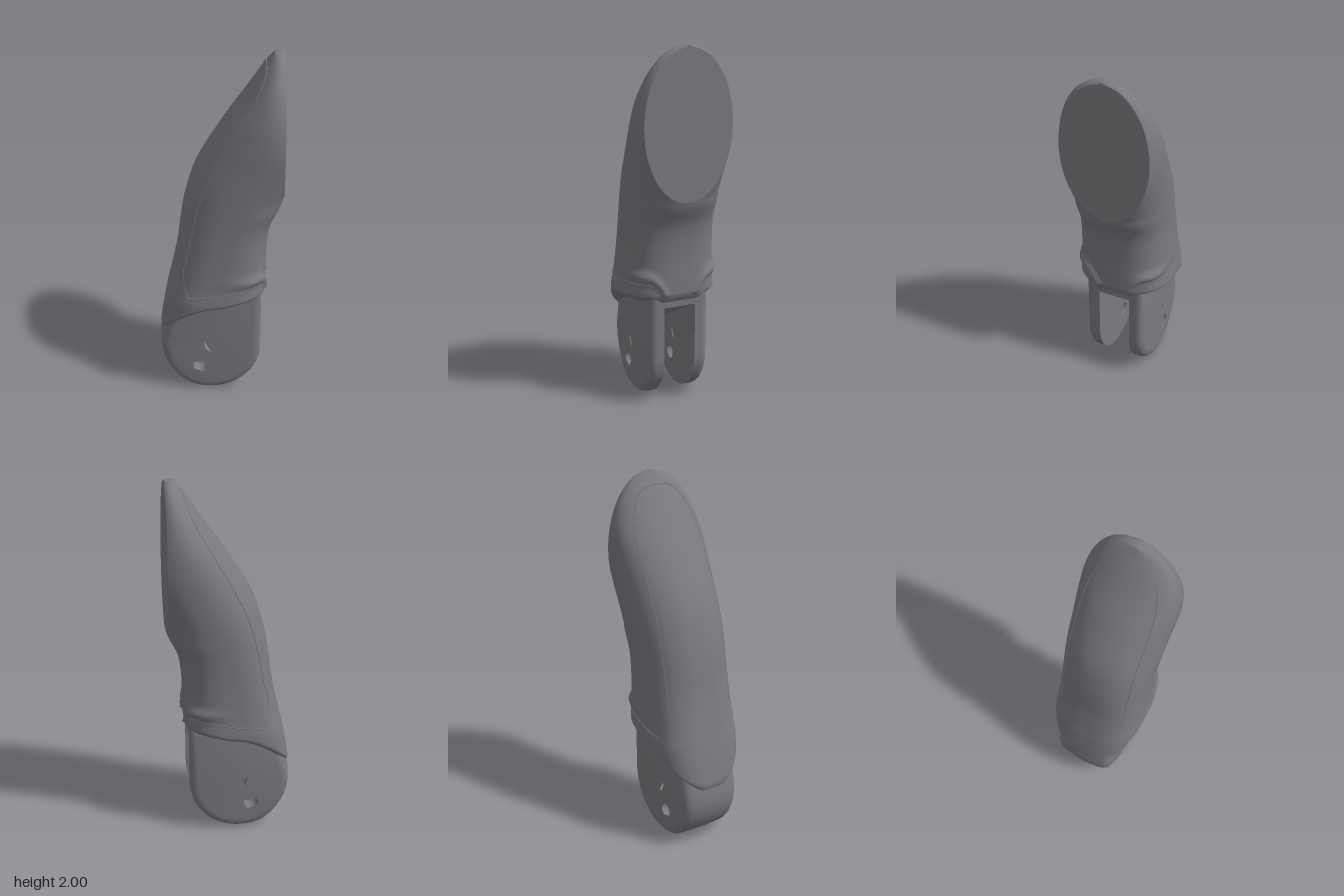
import * as THREE from 'three';
import { mergeVertices, toCreasedNormals } from 'three/addons/utils/BufferGeometryUtils.js';

const material = new THREE.MeshStandardMaterial({ color: 0x7a797f, side: THREE.DoubleSide });
const { smoothstep, lerp, clamp } = THREE.MathUtils;

// Body profile: y, back x, front x, half width, roundness exponent
const PROFILE = [
  [0.3, -0.342, 0.23, 0.21, 3], [0.4, -0.335, 0.235, 0.235, 3], [0.6, -0.3, 0.25, 0.258, 3],
  [0.72, -0.272, 0.252, 0.25, 2.9], [0.9, -0.235, 0.256, 0.245, 2.7], [1.05, -0.215, 0.28, 0.245, 2.5],
  [1.19, -0.19, 0.34, 0.25, 2.4], [1.38, -0.13, 0.34, 0.258, 2.2], [1.6, 0, 0.34, 0.265, 2.1],
  [1.78, 0.125, 0.34, 0.237, 2], [1.9, 0.205, 0.34, 0.175, 2], [2, 0.275, 0.34, 0, 2],
];

// Smooth interpolation of one profile column
function sample(y, col) {
  const P = PROFILE, last = P.length - 1;
  let i = 0;
  while (i < last - 1 && y > P[i + 1][0]) i++;
  const slope = (k) => {
    const a = P[Math.max(k - 1, 0)], b = P[Math.min(k + 1, last)];
    return (b[col] - a[col]) / (b[0] - a[0]);
  };
  const h = P[i + 1][0] - P[i][0];
  const t = clamp((y - P[i][0]) / h, 0, 1), s = t * t * (3 - 2 * t);
  return P[i][col] * (1 - s) + P[i + 1][col] * s
    + h * t * (1 - t) * ((1 - t) * slope(i) - t * slope(i + 1));
}

// Slightly leaning oval face: its x and half width at height y
const faceX = (y) => 0.34 - 0.014 * (y - 1.19);
const faceHalf = (y) => 0.245 * Math.sqrt(Math.max(0, 1 - ((y - 1.59) / 0.4) ** 2));

// Horizontal section: superellipse, cut off at the oval face
function section(y) {
  const n = sample(y, 4), back = sample(y, 1);
  const w = y > 1.6 ? 0.265 * Math.sqrt(Math.max(0, 1 - ((y - 1.6) / 0.4) ** 2)) : sample(y, 3);
  const d = faceHalf(y);
  const A = d > 0 ? Math.asin(Math.min(1, (d / w) ** (n / 2))) : 0;
  const rx = (Math.min(faceX(y), sample(y, 2) + (A > 0 ? 1 : 0)) - back) / (1 + Math.cos(A) ** (2 / n));
  return { n, w, A, rx, cx: back + rx };
}

const pow = (v, e) => Math.sign(v) * Math.abs(v) ** e;

// Height of the soft ridge arching over each cheek
const ridgeY = (z) => 0.76 - 12 * Math.max(0, 0.18 - Math.abs(z)) ** 2;

function bodyPoint(y, f) {
  const { n, w, A, rx, cx } = section(y);
  const a = A + (2 * Math.PI - 2 * A) * f;
  const x = cx + rx * pow(Math.cos(a), 2 / n), z = w * pow(Math.sin(a), 2 / n);
  const swell = 0.02 * Math.exp(-(((y - ridgeY(z)) / 0.03) ** 2)) * smoothstep(x, -0.05, 0.2);
  return [x + swell * 0.8, y, z + Math.sign(z) * swell * 0.5 * smoothstep(Math.abs(z), 0.1, 0.2)];
}

// Skin over rows of points, listed from bottom to top
function loft(rows) {
  const m = rows[0].length, index = [];
  for (let i = 0; i < rows.length - 1; i++) {
    for (let j = 0; j < m - 1; j++) {
      const a = i * m + j, b = a + m;
      index.push(a, b, a + 1, a + 1, b, b + 1);
    }
  }
  let g = new THREE.BufferGeometry();
  g.setAttribute('position', new THREE.Float32BufferAttribute(rows.flat(2), 3));
  g.setIndex(index);
  g = mergeVertices(g, 1e-5);
  g.computeVertexNormals();
  return g;
}

function bodyGeometry() {
  const N = 120, rows = [];
  const fractions = Array.from({ length: N + 1 }, (_, j) => j / N);
  const lip = (f) => 0.66 - 0.26 * ((1 - Math.cos(2 * Math.PI * f)) / 2) ** 2.6;
  // Lip tucked in over the fork
  for (let k = 8; k >= 1; k--) {
    const t = k / 8, s = t * t * (3 - 2 * t);
    rows.push(fractions.map((f) => {
      const [x, y, z] = bodyPoint(lip(f), f);
      return [Math.min(x * (1 - 0.03 * s), 0.25 - 0.03 * s), y - 0.075 * t, z * (1 - 0.4 * s)];
    }));
  }
  // Slanted shoulder with the ridges
  for (let k = 0; k < 30; k++) {
    rows.push(fractions.map((f) => bodyPoint(lerp(lip(f), 0.85, k / 30), f)));
  }
  // Shaft up to the tip
  for (let k = 0; k <= 64; k++) {
    const y = 0.85 + 1.15 * Math.sin((k / 64) * Math.PI / 2);
    rows.push(fractions.map((f) => bodyPoint(y, f)));
  }
  return loft(rows);
}

function ovalGeometry() {
  const rows = [];
  for (let k = 0; k <= 64; k++) {
    const y = 1.59 - 0.4 * Math.cos((k / 64) * Math.PI), d = faceHalf(y);
    rows.push([[faceX(y), y, -d], [faceX(y), y, d]]);
  }
  return loft(rows);
}

const HOLES = [[-0.035, 0.31, 0.052], [-0.11, 0.16, 0.04]];

// Upper back edge shared by cheeks and web, kept inside the body
const BACK_EDGE = [[-0.338, 0.33], [-0.322, 0.4], [-0.295, 0.5], [-0.25, 0.6]];

// Bows the back of the fork so that it rounds off towards the sides
const bowed = (x, z) => x + 0.9 * z * z * smoothstep(-x, 0.15, 0.3);

// Fork cheek: drilled plate with its outer rim rounded over
function cheekGeometry(side) {
  const shape = new THREE.Shape();
  shape.moveTo(0.23, 0.65);
  shape.lineTo(0.23, 0.285);
  shape.absarc(-0.055, 0.285, 0.285, 0, -Math.PI, true);
  for (const [x, y] of BACK_EDGE) shape.lineTo(x, y);
  for (const [x, y, r] of HOLES) {
    const ring = Array.from({ length: 32 }, (_, i) => {
      const a = (i / 32) * Math.PI * 2;
      return new THREE.Vector2(x + r * Math.cos(a), y + r * Math.sin(a));
    });
    shape.holes.push(new THREE.Path(ring));
  }
  const g = new THREE.ExtrudeGeometry(shape, { depth: 0.08, steps: 10, bevelEnabled: false, curveSegments: 32 });
  g.translate(0, 0, side > 0 ? 0.09 : -0.17);
  const p = g.attributes.position;
  for (let i = 0; i < p.count; i++) {
    const x = p.getX(i), y = p.getY(i), z = p.getZ(i);
    if (HOLES.some(([hx, hy, r]) => Math.hypot(x - hx, y - hy) < r + 0.01)) continue;
    const s = clamp((Math.abs(z) - 0.13) / 0.04, 0, 1);
    const k = 1 - 0.13 * (1 - Math.sqrt(1 - s * s));
    p.setXY(i, -0.055 + (bowed(x, z) + 0.055) * k, 0.32 + (y - 0.32) * k);
  }
  return toCreasedNormals(g, 0.6);
}

// Web between the cheeks: sloped ceiling and curved back wall
function webGeometry() {
  const s = new THREE.Shape();
  s.moveTo(0.23, 0.65);
  s.lineTo(0.23, 0.58);
  s.lineTo(-0.2, 0.35);
  s.quadraticCurveTo(-0.29, 0.25, -0.2, 0.06);
  s.absarc(-0.055, 0.285, 0.285, -2.12, -Math.PI, true);
  for (const [x, y] of BACK_EDGE) s.lineTo(x, y);
  const g = new THREE.ExtrudeGeometry(s, { depth: 0.22, steps: 12, bevelEnabled: false, curveSegments: 24 });
  g.translate(0, 0, -0.11);
  const p = g.attributes.position;
  for (let i = 0; i < p.count; i++) p.setX(i, bowed(p.getX(i), p.getZ(i)));
  return toCreasedNormals(g, 0.6);
}

// Fine seam: from the tip down the back, round onto the flank and over the cheek
function seamGeometry(side) {
  const pts = [];
  const addBack = (y, z) => {
    const { n, w, rx, cx } = section(y);
    pts.push(new THREE.Vector3(cx - rx * (1 - Math.min(1, z / w) ** n) ** (1 / n), y, z * side));
  };
  for (let i = 0; i <= 16; i++) {
    const a = (1 - i / 16) * Math.PI / 2;
    addBack(1.6 + 0.34 * Math.sin(a), 0.195 * Math.max(0, Math.cos(a)) ** 0.7);
  }
  for (let y = 1.5; y > 0.75; y -= 0.1) addBack(y, 0.195);
  for (let f = 0.32; f > 0.03; f -= 0.01) {
    const [x, , z] = bodyPoint(0.7, f);
    if (z < 0.12) break;
    const [px, py, pz] = bodyPoint(ridgeY(z) - 0.04 - 0.05 * (1 - smoothstep(x, -0.15, 0.2)), f);
    pts.push(new THREE.Vector3(px, py, pz * side));
  }
  return new THREE.TubeGeometry(new THREE.CatmullRomCurve3(pts), 240, 0.003, 6);
}

export function createModel() {
  const group = new THREE.Group();
  const add = (name, geometry) => {
    const mesh = new THREE.Mesh(geometry, material);
    mesh.name = name;
    group.add(mesh);
  };
  add('body', bodyGeometry());
  add('ovalFace', ovalGeometry());
  add('forkWeb', webGeometry());
  for (const [label, side] of [['front', 1], ['rear', -1]]) {
    add(label + 'ForkCheek', cheekGeometry(side));
    add(label + 'Seam', seamGeometry(side));
  }
  return group;
}
